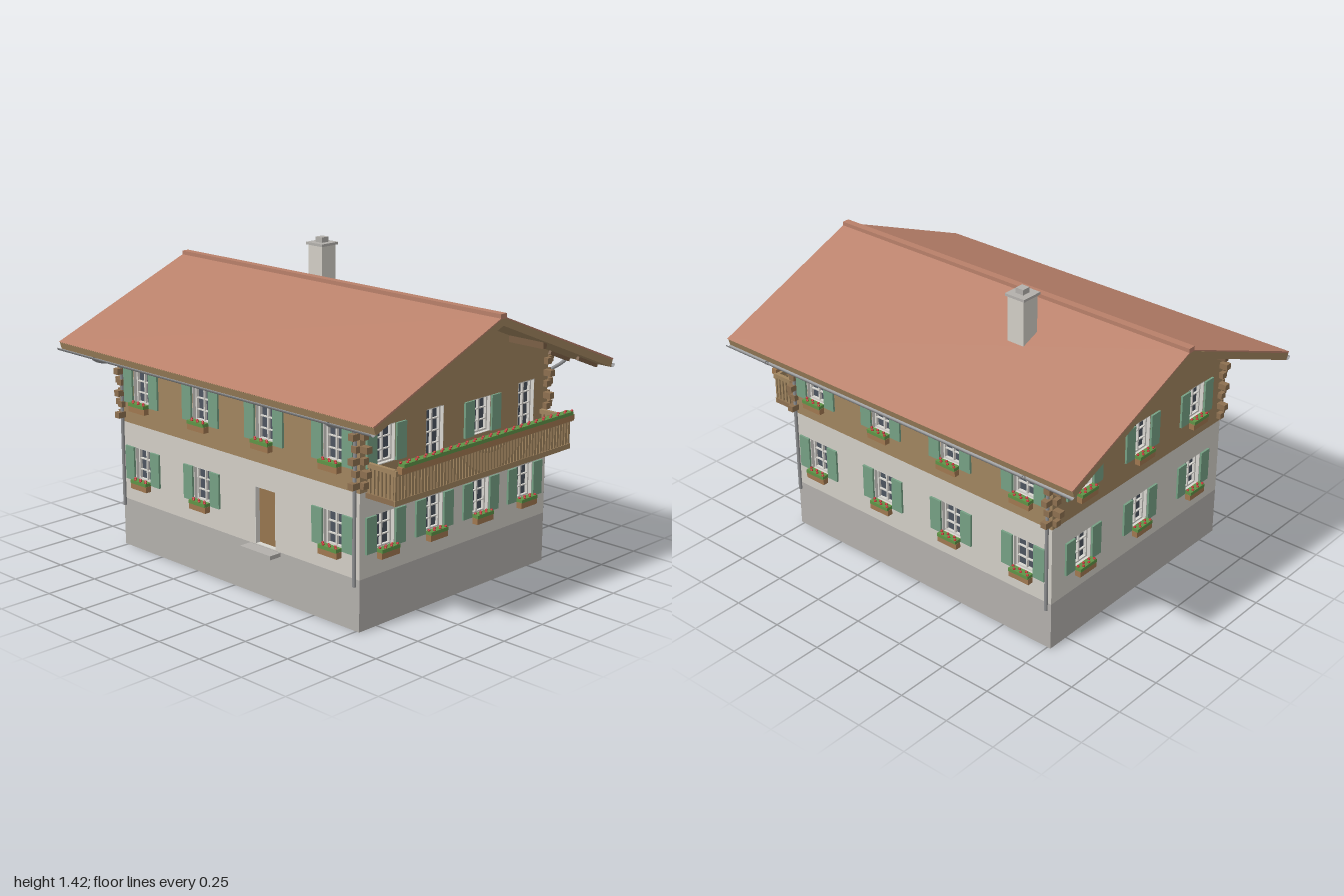
import * as THREE from 'three';

const mat = (color, side = THREE.FrontSide) => new THREE.MeshStandardMaterial({ color, side });
const M = {
  stone: mat(0xb3b0ac, THREE.DoubleSide), plaster: mat(0xd2cec6, THREE.DoubleSide),
  boards: mat(0xa1855f, THREE.DoubleSide), timber: mat(0x8d7050), beam: mat(0x7a5f45),
  tile: mat(0xb9806a), shutter: mat(0x76a084), glass: mat(0x4d5560, THREE.DoubleSide),
  frame: mat(0xd8d6d0), door: mat(0x96754f, THREE.DoubleSide), metal: mat(0x8f9092, THREE.DoubleSide),
  planter: mat(0xa07850), leaf: mat(0x5f9447), flower: mat(0xc42f35),
};
const W = 0.767, D = 0.605;                 // half width and half depth of the walls
const SLOPE = 0.406, UNDER = 1.245;         // roof pitch and underside height at the ridge
const TILT = Math.atan(SLOPE);
const bloom = new THREE.IcosahedronGeometry(0.007, 0);

function add(parent, name, geometry, material, x = 0, y = 0, z = 0) {
  const mesh = new THREE.Mesh(geometry, material);
  mesh.name = name;
  mesh.position.set(x, y, z);
  parent.add(mesh);
  return mesh;
}
const box = (parent, name, material, w, h, d, x, y, z) =>
  add(parent, name, new THREE.BoxGeometry(w, h, d), material, x, y, z);

function group(parent, name) {
  const g = new THREE.Group();
  g.name = name;
  parent.add(g);
  return g;
}

// Planter with leaves and a row of blooms, running along x
function flowerBox(parent, w, count) {
  const g = group(parent, 'flowerBox');
  box(g, 'planter', M.planter, w, 0.028, 0.028, 0, 0.014, 0);
  box(g, 'leaves', M.leaf, w * 0.98, 0.016, 0.034, 0, 0.035, 0);
  for (let i = 0; i < count; i++)
    add(g, 'bloom', bloom, M.flower, ((i + 0.5) / count - 0.5) * w, 0.045, (i % 2 ? 0.009 : -0.006));
  return g;
}

// Recessed opening: reveal, pane or door leaf, glazing bars, shutters, planter
function fillOpening(wall, dist, o) {
  const g = group(wall, o.kind);
  g.position.set(o.u, o.y, dist);
  const { w, h } = o, depth = 0.04, cy = h / 2;
  for (const s of [-1, 1]) {
    box(g, 'revealSide', M.frame, 0.004, h, depth, s * w / 2, cy, -depth / 2);
    box(g, 'revealEdge', M.frame, w, 0.004, depth, 0, cy + s * h / 2, -depth / 2);
  }
  if (o.kind === 'frontDoor') {
    box(g, 'doorLeaf', M.door, w, h, 0.012, 0, cy, -0.03);
    return;
  }
  box(g, 'pane', M.glass, w, h, 0.006, 0, cy, -0.035);
  const z = -0.024;
  for (const s of [-1, 1]) {
    box(g, 'frameSide', M.frame, 0.01, h, 0.014, s * (w / 2 - 0.005), cy, z);
    box(g, 'frameEdge', M.frame, w, 0.01, 0.014, 0, cy + s * (h / 2 - 0.005), z);
  }
  box(g, 'mullion', M.frame, 0.008, h, 0.012, 0, cy, z);
  const rows = Math.round(h / 0.055);
  for (let i = 1; i < rows; i++)
    box(g, 'glazingBar', M.frame, w, 0.005, 0.01, 0, h * i / rows, z);
  if (o.kind === 'window') {
    for (const s of [-1, 1])
      box(g, 'shutter', M.shutter, 0.06, h, 0.01, s * (w / 2 + 0.031), cy, 0.006);
    if (o.planter) flowerBox(g, 0.11, 6).position.set(0, -0.03, 0.022);
  }
}

// One wall of three stacked bands, cut out for its openings
function buildWall(house, name, angle, half, dist, gable, openings) {
  const wall = group(house, name);
  wall.rotation.y = angle;
  const rect = (a, b) => [[-half, a], [half, a], [half, b], [-half, b]];
  const top = UNDER - D * SLOPE;
  const upper = rect(0.605, top);
  if (gable) upper.splice(3, 0, [0, UNDER]);
  const bands = [['plinth', M.stone, rect(0, 0.23)], ['plasterStorey', M.plaster, rect(0.23, 0.605)],
    ['boardedStorey', M.boards, upper]];
  for (const [label, material, pts] of bands) {
    const shape = new THREE.Shape(pts.map(p => new THREE.Vector2(...p)));
    const lo = pts[0][1], hi = pts[2][1];
    for (const o of openings) {
      if (o.y < lo || o.y >= hi) continue;
      const a = o.u - o.w / 2, b = o.u + o.w / 2;
      shape.holes.push(new THREE.Path([[a, o.y], [a, o.y + o.h], [b, o.y + o.h], [b, o.y]]
        .map(p => new THREE.Vector2(...p))));
    }
    add(wall, label, new THREE.ShapeGeometry(shape), material, 0, 0, dist);
  }
  openings.forEach(o => fillOpening(wall, dist, o));
}

// Solid with a chevron section, running the full length of the roof
function chevron(parent, name, material, halfZ, apex, thick, length) {
  const e = apex - halfZ * SLOPE;
  const s = new THREE.Shape([[-halfZ, e], [-halfZ + 0.01, e - thick], [0, apex - thick],
    [halfZ - 0.01, e - thick], [halfZ, e], [0, apex]].map(p => new THREE.Vector2(...p)));
  const geo = new THREE.ExtrudeGeometry(s, { depth: length, bevelEnabled: false });
  geo.translate(0, 0, -length / 2).rotateY(Math.PI / 2);
  return add(parent, name, geo, material);
}

function buildRoof(house) {
  const roof = group(house, 'roof');
  chevron(roof, 'roofDeck', M.boards, 0.77, 1.278, 0.034, 1.998);
  chevron(roof, 'roofTiles', M.tile, 0.775, 1.284, 0.005, 2);
  box(roof, 'ridgeCap', M.tile, 2, 0.022, 0.036, 0, 1.284, 0);
  for (const s of [-1, 1]) {
    // Purlin ends under the gable overhang
    for (const z of [-0.335, 0, 0.335])
      box(roof, 'purlin', M.beam, 0.19, 0.032, 0.022, s * (W + 0.095), UNDER - Math.abs(z) * SLOPE - 0.012, z);
    // Rafter tails under the eaves
    for (let i = -6; i <= 6; i++) {
      const r = box(roof, 'rafter', M.beam, 0.014, 0.022, 0.15, i * 0.155, UNDER - 0.675 * SLOPE - 0.01, s * 0.675);
      r.rotation.x = s * TILT;
    }
    // Half-round gutter and downpipes
    const gutter = add(roof, 'gutter', new THREE.CylinderGeometry(0.014, 0.014, 2, 10, 1, true, Math.PI, Math.PI),
      M.metal, 0, 0.943, s * 0.772);
    gutter.rotation.z = Math.PI / 2;
    for (const x of [-0.748, 0.748]) {
      const path = new THREE.CatmullRomCurve3([[0.2, 0.617], [0.55, 0.617], [0.86, 0.617], [0.885, 0.625], [0.915, 0.74],
        [0.932, 0.772]].map(([y, z]) => new THREE.Vector3(x, y, s * z)));
      add(roof, 'downpipe', new THREE.TubeGeometry(path, 32, 0.008, 8), M.metal);
    }
  }
  const chimney = group(house, 'chimney');
  chimney.position.set(-0.28, 0, -0.222);
  box(chimney, 'stack', M.plaster, 0.088, 0.25, 0.09, 0, 1.265, 0);
  box(chimney, 'capSlab', M.stone, 0.106, 0.012, 0.106, 0, 1.394, 0);
  box(chimney, 'flue', M.stone, 0.042, 0.025, 0.042, 0, 1.412, 0);
}

function buildBalcony(house) {
  const b = group(house, 'balcony');
  const outer = 0.925, half = 0.572, depth = outer - W;
  box(b, 'floor', M.timber, depth, 0.022, half * 2, W + depth / 2, 0.592, 0);
  box(b, 'edgeBeam', M.boards, 0.012, 0.024, half * 2, outer, 0.592, 0);
  box(b, 'frontRail', M.boards, 0.02, 0.024, half * 2, outer, 0.718, 0);
  for (let i = 0; i < 58; i++)
    box(b, 'baluster', M.boards, 0.008, 0.11, 0.0135, outer, 0.655, (i / 57 - 0.5) * (half * 2 - 0.02));
  for (const s of [-1, 1]) {
    box(b, 'sideRail', M.boards, depth, 0.02, 0.018, W + depth / 2, 0.722, s * (half - 0.009));
    for (let i = 0; i < 7; i++)
      box(b, 'sideBaluster', M.boards, 0.013, 0.12, 0.008, W + 0.014 + i * 0.0215, 0.66, s * (half - 0.009));
  }
  const f = flowerBox(b, 1.12, 44);
  f.position.set(outer + 0.018, 0.718, 0);
  f.rotation.y = Math.PI / 2;
}

export function createModel() {
  const house = new THREE.Group();
  house.name = 'chalet';
  const win = (y, planter = true) => u => ({ kind: 'window', u, y, w: 0.115, h: 0.16, planter });
  const low = win(0.335), high = win(0.705), bare = win(0.705, false);
  const balconyDoor = u => ({ kind: 'balconyDoor', u, y: 0.61, w: 0.11, h: 0.27 });
  const four = [-0.615, -0.205, 0.205, 0.615], three = [-0.4, 0, 0.4];

  buildWall(house, 'frontWall', 0, W, D, false, [...four.map(high), ...[-0.615, -0.205, 0.615].map(low),
    { kind: 'frontDoor', u: 0.203, y: 0.232, w: 0.126, h: 0.263 }]);
  buildWall(house, 'backWall', Math.PI, W, D, false, [...four.map(high), ...four.map(low)]);
  buildWall(house, 'balconyWall', Math.PI / 2, D, W, true, [...[-0.455, -0.152, 0.152, 0.455].map(low),
    ...[-0.455, 0.152].map(bare), ...[-0.152, 0.455].map(balconyDoor)]);
  buildWall(house, 'gableWall', -Math.PI / 2, D, W, true, [...three.map(high), ...three.map(low)]);
  box(house, 'doorStep', M.stone, 0.19, 0.018, 0.06, 0.2, 0.219, D + 0.03);

  // Interlocking log ends at the four corners
  for (const sx of [-1, 1]) for (const sz of [-1, 1]) for (let i = 0; i < 4; i++) {
    const y = 0.64 + i * 0.104;
    box(house, 'logEnd', M.timber, 0.03, 0.028, 0.04, sx * (W - 0.015), y, sz * (D + 0.02));
    box(house, 'logEndShort', M.timber, 0.03, 0.028, 0.022, sx * (W - 0.015), y + 0.05, sz * (D + 0.011));
    if (i < 3) box(house, 'crossLogEnd', M.timber, 0.04, 0.028, 0.03, sx * (W + 0.02), y + 0.05, sz * (D - 0.015));
    box(house, 'crossLogEndShort', M.timber, 0.022, 0.028, 0.03, sx * (W + 0.011), y, sz * (D - 0.015));
  }
  buildRoof(house);
  buildBalcony(house);
  return house;
}
